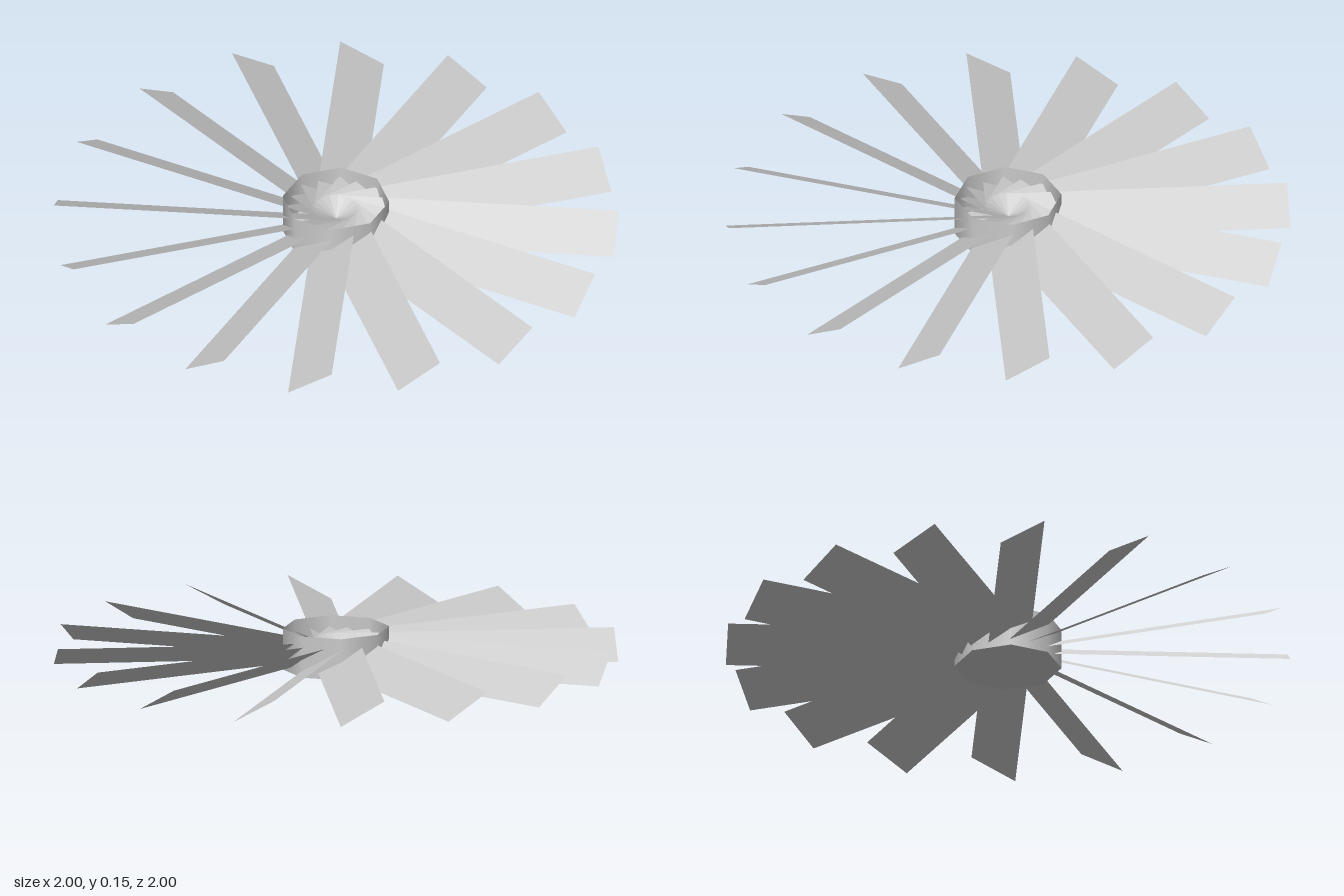
import * as THREE from 'three';

export function createModel() {
  const model = new THREE.Group();
  model.name = 'fanWheel';
  const material = new THREE.MeshStandardMaterial({ color: 0xcccccc, side: THREE.DoubleSide });

  // Hub: open-topped octagonal cup with a thin wall
  const hubRadius = 0.19, hubHeight = 0.15, hubSides = 8;
  const hub = new THREE.Group();
  hub.name = 'hub';
  const wall = new THREE.Mesh(
    new THREE.CylinderGeometry(hubRadius, hubRadius, hubHeight, hubSides, 1, true), material);
  wall.name = 'hubWall';
  wall.position.y = hubHeight / 2;
  const base = new THREE.Mesh(
    new THREE.CircleGeometry(hubRadius, hubSides).rotateX(Math.PI / 2), material);
  base.name = 'hubBase';
  hub.add(wall, base);
  model.add(hub);

  // Blades: flat strips from the axis to the rim, each pitched about its own length
  const bladeCount = 16, pitch = Math.PI / 6;
  const bladeGeometry = new THREE.PlaneGeometry(1, 0.18)
    .rotateX(-Math.PI / 2 + pitch)
    .translate(0.5, 0.065, 0);
  for (let i = 0; i < bladeCount; i++) {
    const blade = new THREE.Mesh(bladeGeometry, material);
    blade.name = `blade${i + 1}`;
    blade.rotation.y = (i / bladeCount) * Math.PI * 2;
    model.add(blade);
  }
  return model;
}
